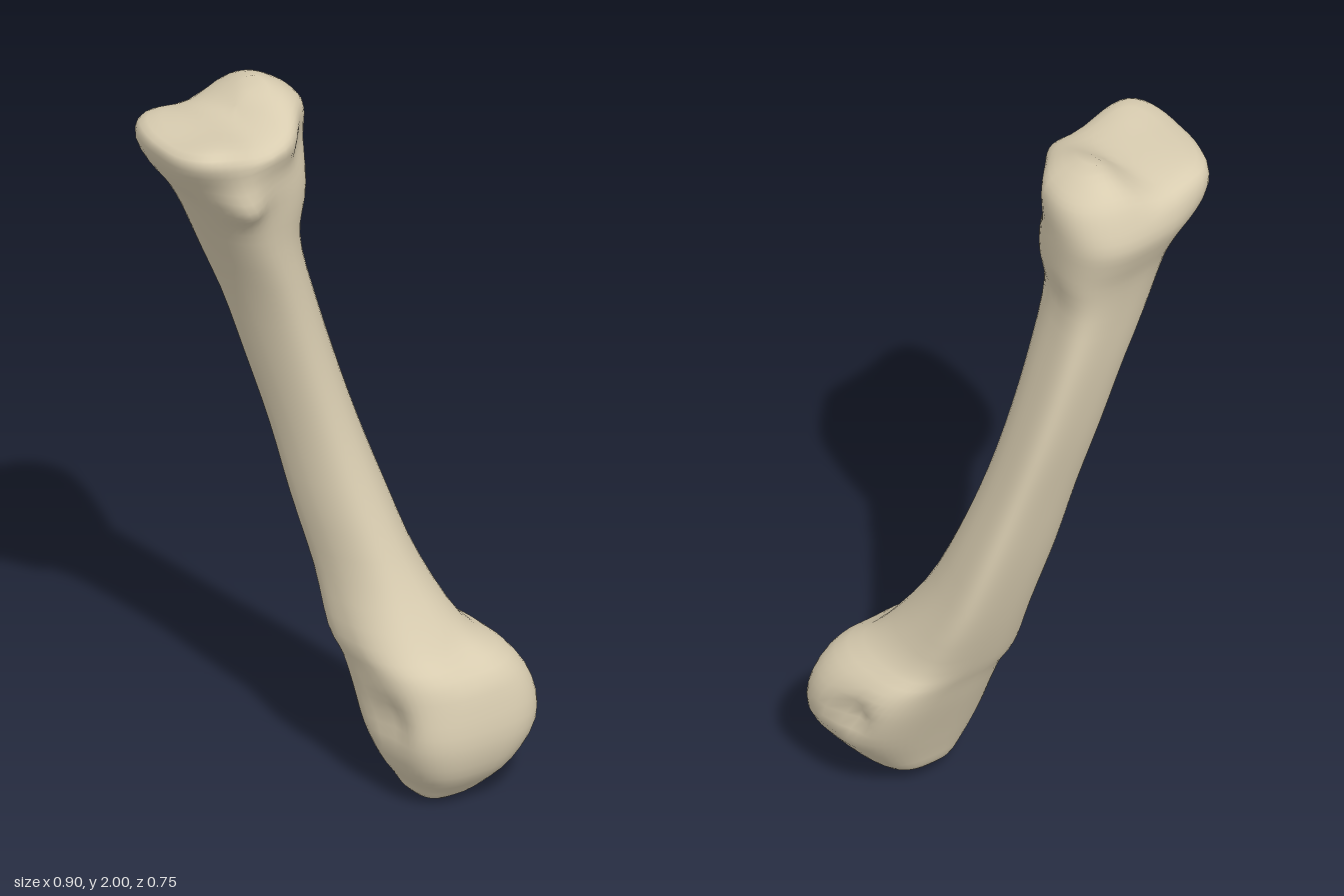
import * as THREE from 'three';

// Shaft and ends as horizontal sections: y, xMin, xMax, zMin, zMax
const sections = [
  [0.003, 0.17, 0.19, 0.19, 0.21],
  [0.015, 0.12, 0.25, 0.13, 0.27],
  [0.05, 0.10, 0.31, 0.08, 0.31],
  [0.11, 0.06, 0.375, 0.055, 0.355],
  [0.2, 0.025, 0.44, 0.02, 0.375],
  [0.3, 0.015, 0.445, -0.02, 0.36],
  [0.38, 0.005, 0.405, -0.05, 0.33],
  [0.45, -0.01, 0.325, -0.08, 0.25],
  [0.6, -0.01, 0.275, -0.13, 0.15],
  [0.8, -0.045, 0.22, -0.18, 0.07],
  [1.0, -0.08, 0.16, -0.22, 0.015],
  [1.2, -0.13, 0.105, -0.26, -0.015],
  [1.4, -0.19, 0.05, -0.29, -0.025],
  [1.58, -0.27, 0.005, -0.31, -0.015],
  [1.69, -0.325, 0.015, -0.33, 0],
  [1.76, -0.365, 0.02, -0.355, 0.01],
  [1.83, -0.415, 0.025, -0.375, 0.02],
  [1.9, -0.45, 0.025, -0.355, 0.045],
  [1.94, -0.43, 0.005, -0.32, 0.02],
  [1.955, -0.3, -0.05, -0.25, -0.06],
  [1.957, -0.2, -0.18, -0.17, -0.15],
];

// Local swellings and hollows: centre, radius, push
const bumps = [
  { at: [-0.3, 1.77, 0.03], r: 0.075, push: [0, -0.02, 0.055] }, // front tubercle
  { at: [-0.39, 1.91, -0.3], r: 0.1, push: [-0.01, 0, -0.03] }, // back corner of the head
  { at: [-0.39, 1.94, 0.0], r: 0.08, push: [-0.01, 0.015, 0.02] }, // front corner of the head
  { at: [0, 1.88, 0], r: 0.11, push: [-0.035, 0, -0.035] }, // bevelled corner of the head
  { at: [0.44, 0.28, 0.12], r: 0.05, push: [-0.04, 0, 0] }, // side hollow of the base
  { at: [0.02, 0.25, 0.22], r: 0.07, push: [0.03, 0, 0] }, // other side hollow
  { at: [0.22, 0.42, 0.3], r: 0.06, push: [0, 0, -0.015] }, // hollow above the joint
];

const gauss = (d, r) => Math.exp(-((d / r) ** 2));
const power = (v, p) => Math.sign(v) * Math.abs(v) ** p;

function catmull(a, b, c, d, t) {
  return 0.5 * (2 * b + (c - a) * t + (2 * a - 5 * b + 4 * c - d) * t * t + (3 * b - a - 3 * c + d) * t ** 3);
}

function sectionAt(i, t) {
  const row = (k) => sections[THREE.MathUtils.clamp(k, 0, sections.length - 1)];
  return row(i).map((_, k) => catmull(row(i - 1)[k], row(i)[k], row(i + 1)[k], row(i + 2)[k], t));
}

function boneGeometry(sides = 48, steps = 3) {
  const positions = [], indices = [];
  const p = new THREE.Vector3(), v = new THREE.Vector3();
  const rings = (sections.length - 1) * steps + 1;

  for (let ring = 0; ring < rings; ring++) {
    const [y, x0, x1, z0, z1] = sectionAt(Math.floor(ring / steps), (ring % steps) / steps);
    const base = 1 - THREE.MathUtils.smoothstep(y, 0.25, 0.7);
    const head = THREE.MathUtils.smoothstep(y, 1.45, 1.85);
    const shaft = 1 - base - head;
    const tilt = 0.08 * base - 0.15 * shaft - 0.2 * head; // slant of the section
    const flat = 0.45 * shaft; // flattened back
    const round = 0.68 * base + 0.9 * shaft + 0.78 * head; // squareness

    for (let j = 0; j < sides; j++) {
      const a = (j / sides) * Math.PI * 2;
      p.set(
        (x0 + x1) / 2 + ((x1 - x0) / 2) * power(Math.cos(a), round),
        y,
        (z0 + z1) / 2 + ((z1 - z0) / 2) * power(Math.sin(a + tilt - flat * Math.cos(a)), round)
      );
      for (const b of bumps) {
        const w = gauss(p.distanceTo(v.fromArray(b.at)), b.r);
        p.addScaledVector(v.fromArray(b.push), w);
      }
      // Saddle-shaped top: a ridge and a trough beside it
      const top = THREE.MathUtils.smoothstep(y, 1.87, 1.95);
      p.y += top * (0.05 * gauss(p.x + 0.1, 0.08) * gauss(p.z + 0.2, 0.13) - 0.022 * gauss(p.x + 0.23, 0.08));
      positions.push(p.x, p.y, p.z);
    }
  }

  for (let i = 0; i < rings - 1; i++) {
    for (let j = 0; j < sides; j++) {
      const k = (j + 1) % sides;
      const a = i * sides + j, b = i * sides + k;
      indices.push(a, a + sides, b, b, a + sides, b + sides);
    }
  }
  // Close both ends
  const last = (rings - 1) * sides;
  for (let j = 1; j < sides - 1; j++) {
    indices.push(0, j, j + 1, last, last + j + 1, last + j);
  }

  const geometry = new THREE.BufferGeometry();
  geometry.setAttribute('position', new THREE.Float32BufferAttribute(positions, 3));
  geometry.setIndex(indices);
  geometry.computeVertexNormals();
  return geometry;
}

export function createModel() {
  const group = new THREE.Group();
  group.name = 'bone';
  const boneMaterial = new THREE.MeshStandardMaterial({ color: 0xd8ccb0 });
  boneMaterial.name = 'bone beige';
  const bone = new THREE.Mesh(boneGeometry(), boneMaterial);
  bone.name = 'boneBody';
  group.add(bone);
  return group;
}
